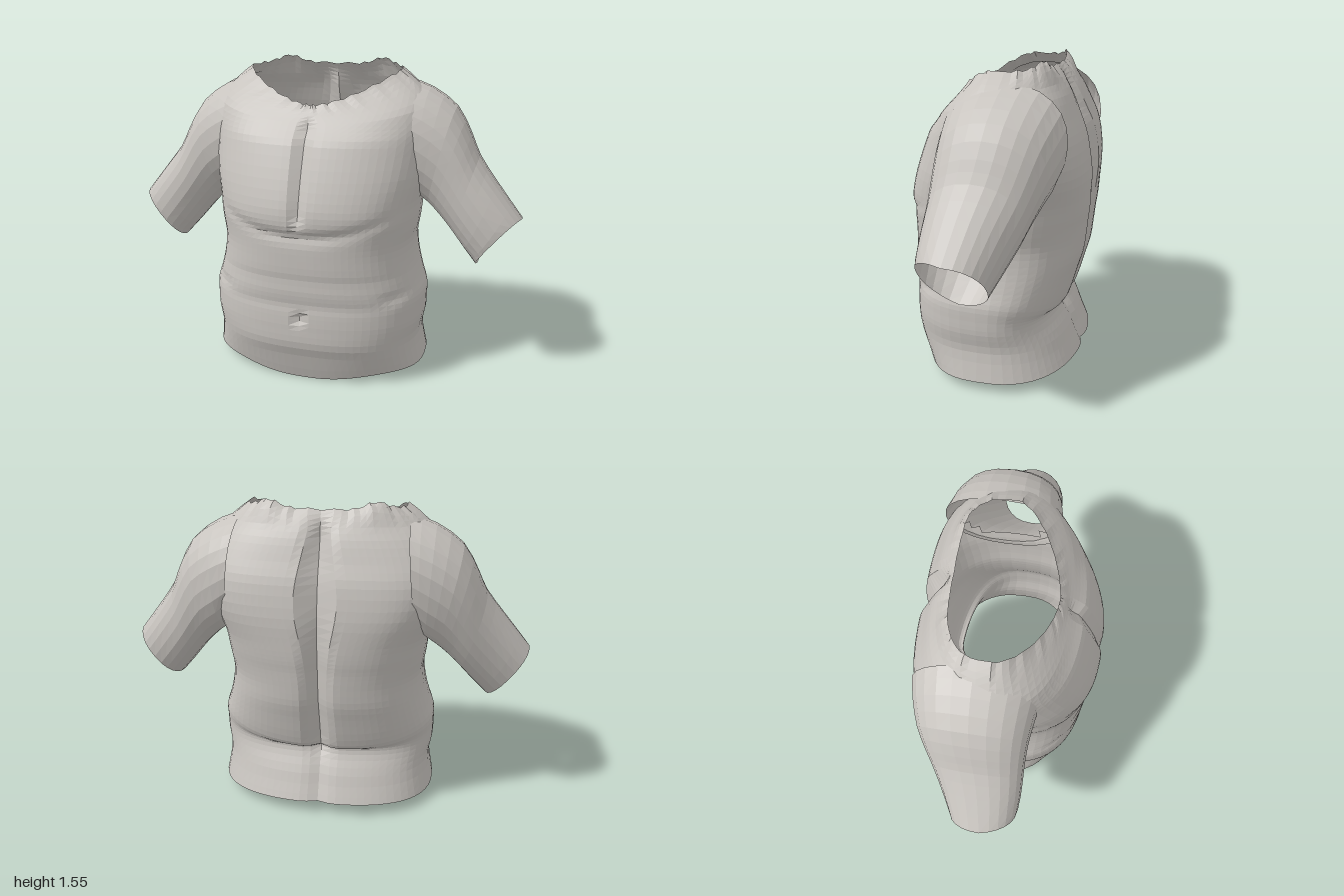
import * as THREE from 'three';

const skin = new THREE.MeshStandardMaterial({ color: 0xc8c4bf, side: THREE.DoubleSide, flatShading: true });
skin.name = 'pale clay grey';

const bell = (v, centre, width) => Math.exp(-(((v - centre) / width) ** 2));
const spow = (v, p) => Math.sign(v) * Math.abs(v) ** p;
const step = THREE.MathUtils.smoothstep;

// Insert smoothly interpolated rows between key sections
function resample(keys, per) {
  const rows = [];
  const last = keys.length - 1;
  const at = (i) => keys[Math.min(Math.max(i, 0), last)];
  for (let i = 0; i < last; i++) {
    for (let k = 0; k < per; k++) {
      const t = k / per;
      rows.push(keys[i].map((b, j) => {
        const a = at(i - 1)[j], c = at(i + 1)[j], d = at(i + 2)[j];
        return b + 0.5 * t * (c - a + t * (2 * a - 5 * b + 4 * c - d + t * (3 * (b - c) + d - a)));
      }));
    }
  }
  rows.push(keys[last]);
  return rows;
}

// Skin closed rings of points into an open tube; skip() leaves out faces
function loft(rings, flip, skip = () => false) {
  const n = rings[0].length;
  const index = [];
  for (let r = 0; r < rings.length - 1; r++) {
    for (let i = 0; i < n; i++) {
      const j = (i + 1) % n;
      const mid = rings[r][i].clone().add(rings[r + 1][j]).multiplyScalar(0.5);
      if (skip(mid)) continue;
      const a = r * n + i, b = r * n + j, c = a + n, d = b + n;
      if (flip) index.push(a, b, c, b, d, c);
      else index.push(a, c, b, b, c, d);
    }
  }
  const g = new THREE.BufferGeometry().setFromPoints(rings.flat());
  g.setIndex(index);
  g.computeVertexNormals();
  return g;
}

// Trunk sections: height at the side, half width, z front, z back
const trunkKeys = [
  [0.055, 0.56, 0.35, -0.42],
  [0.2, 0.535, 0.42, -0.365],
  [0.3, 0.55, 0.43, -0.315],
  [0.37, 0.552, 0.43, -0.315],
  [0.44, 0.55, 0.43, -0.35],
  [0.51, 0.525, 0.435, -0.388],
  [0.6, 0.5, 0.44, -0.42],
  [0.7, 0.487, 0.443, -0.433],
  [0.78, 0.497, 0.445, -0.44],
  [0.84, 0.503, 0.455, -0.447],
  [0.92, 0.51, 0.45, -0.45],
  [1.05, 0.54, 0.41, -0.448],
  [1.2, 0.56, 0.35, -0.423],
  [1.3, 0.56, 0.3, -0.385],
  [1.4, 0.52, 0.255, -0.345],
  [1.47, 0.45, 0.23, -0.3],
  [1.52, 0.38, 0.21, -0.255],
];

function trunkRing([level, w, zF, zB]) {
  const ring = [];
  const n = 72;
  const hem = 1 - step(level, 0.055, 0.15);
  const neck = step(level, 1.43, 1.52);
  const collar = Math.max(0, (level - 1.22) / 0.3);
  const zS = -0.1 * bell(level, 1.22, 0.2) - 0.02 * neck;
  const roundF = 0.8 + 0.45 * step(level, 1.36, 1.52);
  const roundB = 0.8 - 0.22 * bell(level, 1.12, 0.25) - 0.15 * neck;
  for (let i = 0; i < n; i++) {
    // points gather towards the middle of the chest and the spine
    const even = (i / n) * Math.PI * 2;
    const a = even + 0.2 * Math.sin(2 * even);
    const c = Math.cos(a), s = Math.sin(a);
    const front = s > 0;
    const p = front ? roundF : roundB;
    const x = w * spow(c, p);
    const tilt = front ? -0.15 * collar : -0.08 * bell(level, 0.43, 0.07);
    let y = level + tilt * s * s;
    let z = zS + ((front ? zF : zB) - zS) * Math.abs(s) ** p;
    if (front) {
      // hem dip, breastbone groove, crease below the chest, waist folds and navel
      y -= 0.05 * hem * s ** 8;
      z -= 0.03 * bell(x, 0, 0.03) * step(y, 0.8, 0.9) * (1 - step(y, 1.25, 1.33));
      z -= 0.014 * bell(y, 0.785 + 0.5 * x * x, 0.03) * s * (1 - step(Math.abs(x), 0.36, 0.48));
      z -= 0.005 * (bell(y, 0.56, 0.03) + bell(y, 0.43, 0.03)) * s;
      z -= 0.015 * bell(Math.abs(x), 0.45, 0.06) * bell(y, 0.47, 0.03);
      z -= 0.02 * bell(x, 0, 0.02) * bell(y, 0.36, 0.03);
    } else {
      // spine groove, and the raised back of the collar
      y += 0.015 * hem * s * s;
      z += (0.02 + 0.04 * step(y, 0.25, 0.4)) * bell(x, 0, 0.045) * (1 - step(y, 1.38, 1.53));
      y += neck * 0.035 * bell(Math.abs(x), 0.25, 0.07);
    }
    // ragged neck edge
    y += neck * 0.006 * Math.sin(i * 2.3);
    ring.push(new THREE.Vector3(x, y, z));
  }
  return ring;
}

// Arm sections: top x, y, bottom x, y, z front, z back
const armKeys = [
  [0.4, 1.475, 0.45, 0.96, 0.19, -0.395],
  [0.52, 1.435, 0.49, 0.905, 0.175, -0.38],
  [0.65, 1.345, 0.54, 0.865, 0.16, -0.35],
  [0.73, 1.21, 0.6, 0.81, 0.155, -0.312],
  [0.775, 1.115, 0.66, 0.745, 0.155, -0.28],
  [0.87, 0.99, 0.73, 0.66, 0.155, -0.23],
  [1.0, 0.83, 0.8, 0.58, 0.145, -0.175],
];

function armRing([tx, ty, bx, by, zF, zB], side, cut) {
  const ring = [];
  const n = 24;
  for (let i = 0; i < n; i++) {
    const a = (i / n) * Math.PI * 2;
    const u = spow(Math.cos(a), 0.9) / 2 + 0.5;
    const v = spow(Math.sin(a), 0.9);
    // the open end is cut back a little at the front
    const pull = cut * Math.max(0, v) * 0.03;
    ring.push(new THREE.Vector3(
      side * (bx + (tx - bx) * u - pull),
      by + (ty - by) * u + pull,
      (zF + zB) / 2 + ((zF - zB) / 2) * v,
    ));
  }
  return ring;
}

export function createModel() {
  const model = new THREE.Group();
  model.name = 'torso';
  const add = (name, geometry) => {
    const mesh = new THREE.Mesh(geometry, skin);
    mesh.name = name;
    model.add(mesh);
  };

  // Trunk, left open where the arms join
  const inArm = (p) => Math.abs(p.x) > 0.43
    && ((p.y - 1.19) / 0.24) ** 2 + ((p.z + 0.1) / 0.25) ** 2 < 1;
  add('trunk', loft(resample(trunkKeys, 3).map(trunkRing), false, inArm));

  // Upper arms, open at the cut ends
  for (const side of [1, -1]) {
    const rows = resample(armKeys, 2);
    const rings = rows.map((r, k) => armRing(r, side, k === rows.length - 1 ? 1 : 0));
    add(side > 0 ? 'leftArm' : 'rightArm', loft(rings, side > 0));
  }
  return model;
}
